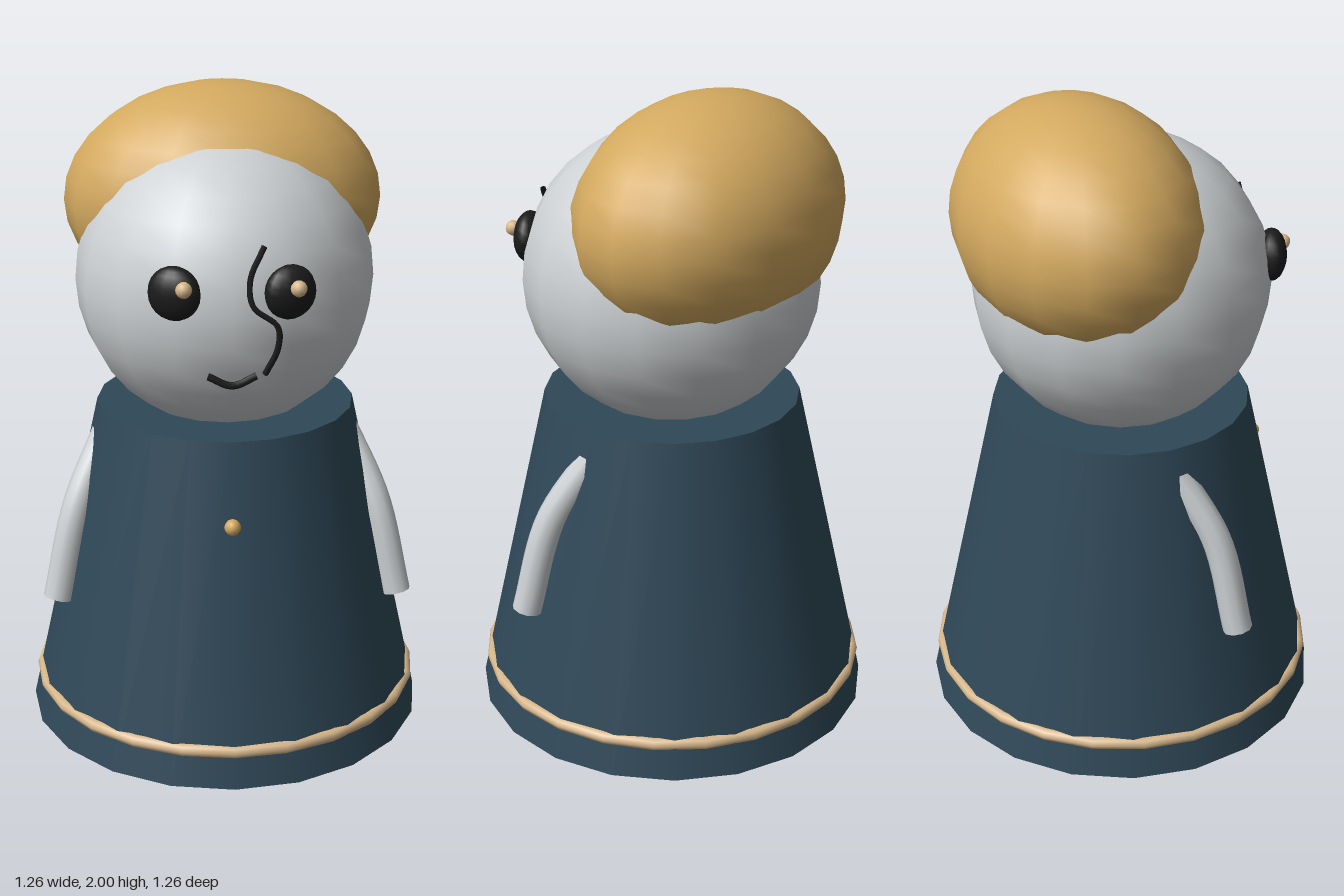
import * as THREE from 'three';

const mat = (name, color, side = THREE.FrontSide) => {
  const m = new THREE.MeshStandardMaterial({ color, side });
  m.name = name;
  return m;
};

export function createModel() {
  const group = new THREE.Group();
  const robeBlue = mat('robe blue', 0x2f4858);
  const paleGrey = mat('pale grey', 0xcdd1d3, THREE.DoubleSide);
  const golden = mat('golden', 0xd3a95f);
  const tan = mat('tan', 0xd8b88c);
  const black = mat('black', 0x1b1b1b, THREE.DoubleSide);

  const add = (name, geometry, material, x = 0, y = 0, z = 0) => {
    const mesh = new THREE.Mesh(geometry, material);
    mesh.name = name;
    mesh.position.set(x, y, z);
    group.add(mesh);
    return mesh;
  };
  const tube = (name, points, radius, material, steps, sides) => {
    const curve = new THREE.CatmullRomCurve3(points.map((p) => new THREE.Vector3(...p)));
    return add(name, new THREE.TubeGeometry(curve, steps, radius, sides), material);
  };

  // Robe with a trim ring and a button
  add('robe', new THREE.CylinderGeometry(0.4, 0.63, 1.035, 20), robeBlue, 0, 0.5175, 0);
  add('robeTrim', new THREE.TorusGeometry(0.597, 0.02, 8, 24).rotateX(Math.PI / 2), tan, 0, 0.112, 0);
  add('button', new THREE.SphereGeometry(0.025, 10, 8), golden, 0, 0.79, 0.462);

  // Head and the hair cap sunk into it
  add('head', new THREE.SphereGeometry(0.457, 16, 16), paleGrey, 0, 1.425, 0);
  add('hair', new THREE.SphereGeometry(1, 16, 16).scale(0.49, 0.362, 0.367), golden, 0, 1.638, -0.138);

  for (const s of [-1, 1]) {
    const side = s > 0 ? 'left' : 'right';
    // Curved sleeve hanging from the robe
    tube(side + 'Arm', [[s * 0.365, 0.95, 0.02], [s * 0.467, 0.73, 0.125], [s * 0.535, 0.432, 0.175]],
      0.046, paleGrey, 14, 10);
    // Flattened eye facing slightly outward
    const eye = add(side + 'Eye', new THREE.SphereGeometry(0.08, 14, 12).scale(1, 1, 0.58), black,
      s * 0.165, 1.5, 0.422);
    eye.rotation.y = s * 0.38;
    // Glint on the eye, offset to the same side on both
    add(side + 'EyeGlint', new THREE.SphereGeometry(0.024, 10, 8), tan, s * 0.162 + 0.023, 1.523, 0.47);
  }

  // Drawn face lines
  tube('noseLine', [[0.09, 1.635, 0.425], [0.05, 1.54, 0.437], [0.058, 1.465, 0.45],
    [0.128, 1.405, 0.448], [0.13, 1.34, 0.443], [0.095, 1.255, 0.425]], 0.009, black, 32, 6);
  tube('mouth', [[-0.07, 1.25, 0.425], [0, 1.223, 0.432], [0.07, 1.25, 0.425]], 0.011, black, 10, 6);

  return group;
}
